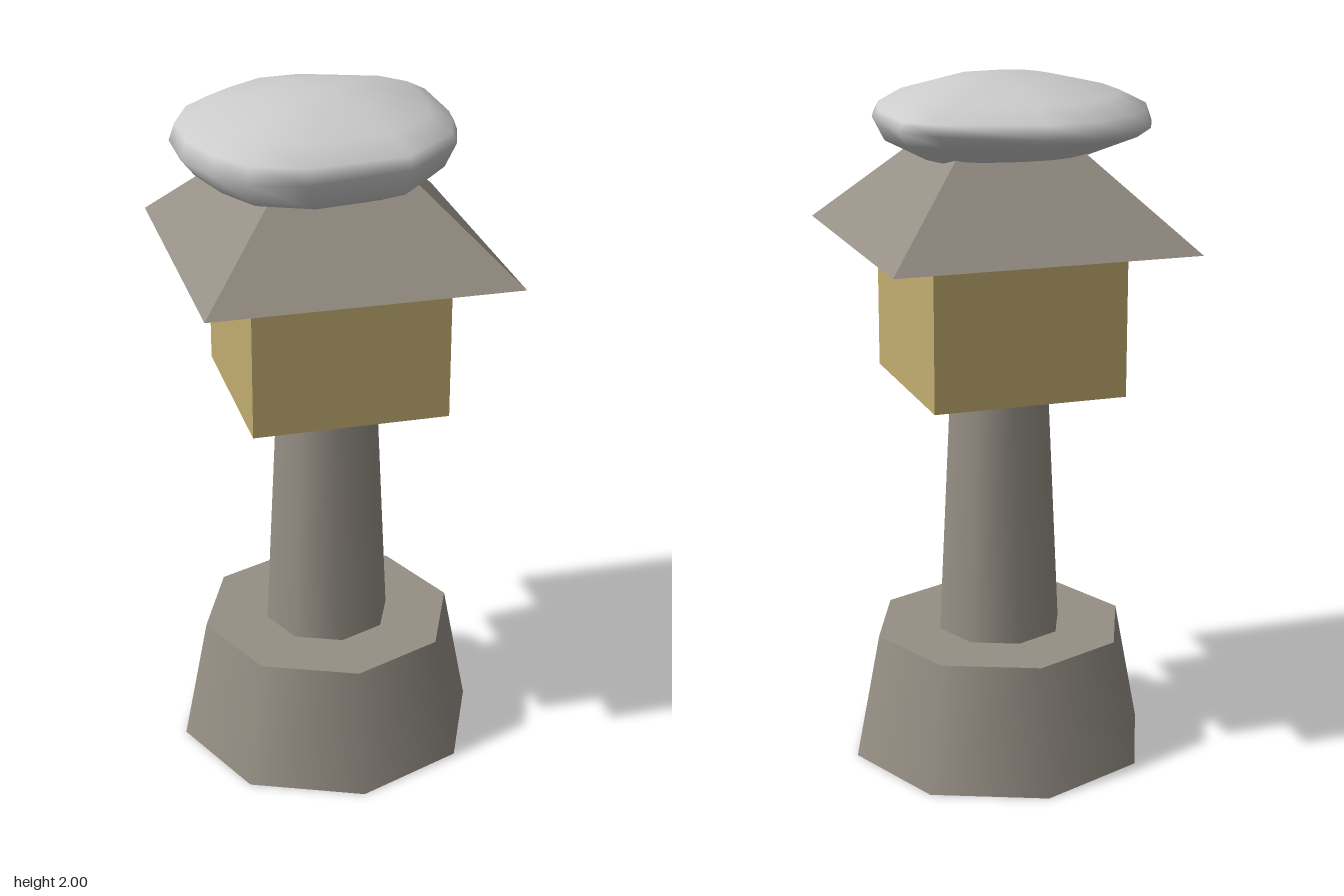
import * as THREE from 'three';

const stone = new THREE.MeshStandardMaterial({ color: 0x968f85 });
const stoneFlat = new THREE.MeshStandardMaterial({ color: 0x968f85, flatShading: true });
const glow = new THREE.MeshStandardMaterial({ color: 0xc2ad70 });
const snow = new THREE.MeshStandardMaterial({ color: 0xcccccc });

function add(group, name, geometry, material, y) {
  const mesh = new THREE.Mesh(geometry, material);
  mesh.name = name;
  mesh.position.y = y;
  group.add(mesh);
  return mesh;
}

// Irregular flattened lump: one outline (x, z) repeated at several sizes and heights
function lumpGeometry() {
  const outline = [
    [-0.42, -0.09], [-0.36, -0.23], [-0.28, -0.31], [-0.15, -0.395],
    [0, -0.405], [0.275, -0.31], [0.355, -0.22], [0.36, 0],
    [0.345, 0.08], [0.31, 0.19], [0.25, 0.25], [0.14, 0.355],
    [-0.15, 0.385], [-0.295, 0.33], [-0.37, 0.22], [-0.42, 0.08],
  ];
  // scale, height, tilt along x, tilt along z
  const rings = [
    [0.4, 1.988, 0, 0], [0.78, 1.95, 0, 0], [0.96, 1.912, 0, 0],
    [1, 1.875, 0.03, 0], [0.91, 1.825, 0.01, -0.07], [0.58, 1.768, 0, -0.06],
  ];
  const n = outline.length;
  const pos = [0, 2, 0];
  const index = [];
  for (const [s, y, tx, tz] of rings)
    for (const [x, z] of outline) pos.push(x * s, y + tx * x + tz * z, z * s);
  const bottom = pos.length / 3;
  pos.push(0, 1.745, 0);

  for (let i = 0; i < n; i++) {
    const k = (i + 1) % n;
    index.push(0, 1 + k, 1 + i);
    for (let r = 0; r < rings.length - 1; r++) {
      const a = 1 + r * n + i, b = 1 + r * n + k;
      index.push(a, b, a + n, b, b + n, a + n);
    }
    const last = 1 + (rings.length - 1) * n;
    index.push(last + i, last + k, bottom);
  }
  const g = new THREE.BufferGeometry();
  g.setAttribute('position', new THREE.Float32BufferAttribute(pos, 3));
  g.setIndex(index);
  g.computeVertexNormals();
  return g;
}

export function createModel() {
  const lantern = new THREE.Group();
  lantern.name = 'stoneLantern';

  // Eight-sided foot and tapering post
  add(lantern, 'base', new THREE.CylinderGeometry(0.372, 0.444, 0.372, 8), stone, 0.186);
  add(lantern, 'post', new THREE.CylinderGeometry(0.148, 0.185, 0.75, 8), stone, 0.745);

  // Light box
  add(lantern, 'lightBox', new THREE.BoxGeometry(0.56, 0.425, 0.56), glow, 1.3325);

  // Square pyramid roof
  const roof = add(lantern, 'roof', new THREE.ConeGeometry(0.436 * Math.SQRT2, 0.44, 4), stoneFlat, 1.765);
  roof.rotation.y = Math.PI / 4;

  // Snow lump resting on the roof
  add(lantern, 'snowCap', lumpGeometry(), snow, 0);

  return lantern;
}
